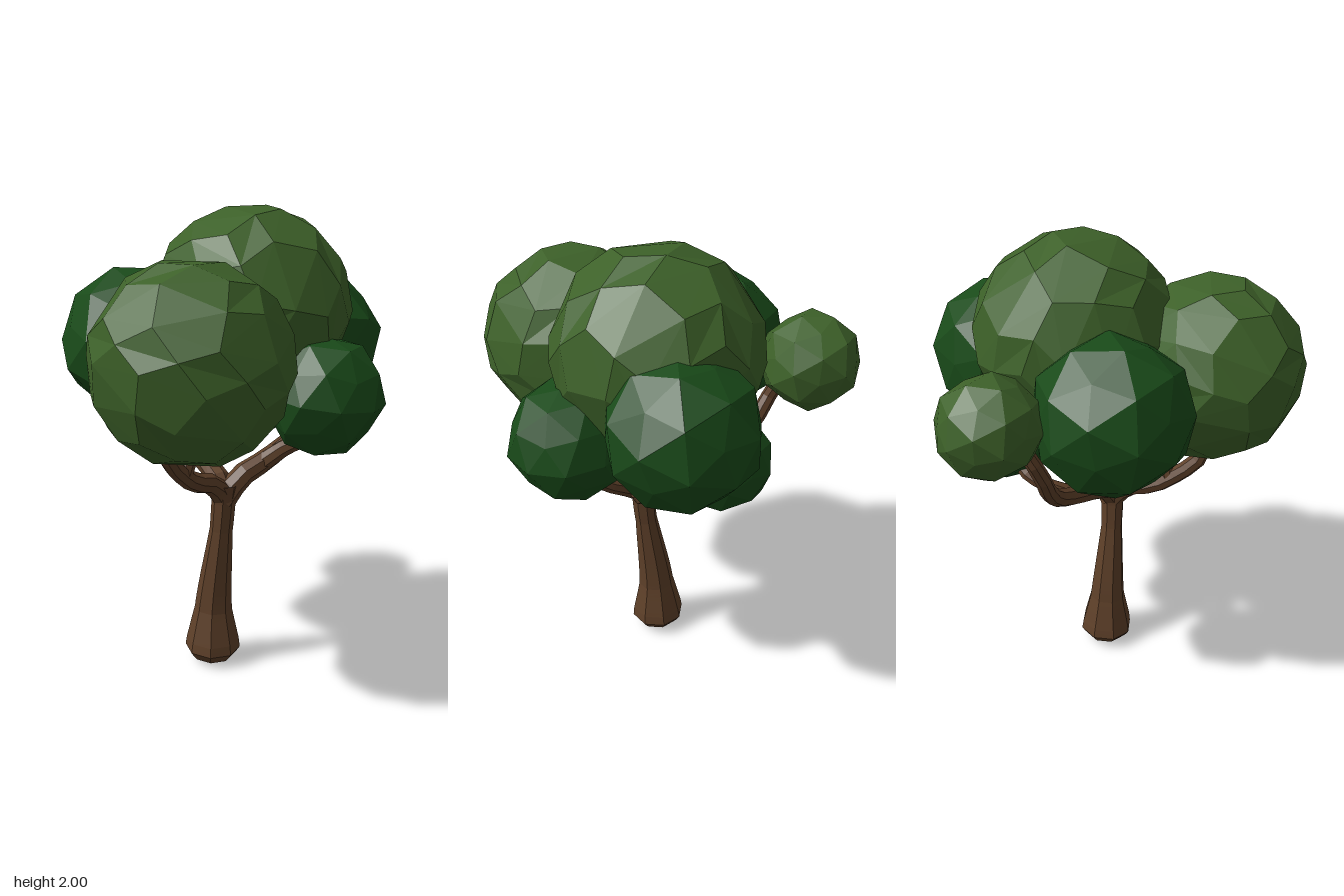
import * as THREE from 'three';

const material = (color) => new THREE.MeshStandardMaterial({ color, flatShading: true });
const bark = material(0x5e4029);
const lightLeaf = material(0x3d6129);
const darkLeaf = material(0x194a19);

// Linear lookup in a list of [u, radius] pairs
function radiusAt(profile, u) {
  for (let i = 1; i < profile.length; i++) {
    const [u0, r0] = profile[i - 1];
    const [u1, r1] = profile[i];
    if (u <= u1) return THREE.MathUtils.lerp(r0, r1, (u - u0) / (u1 - u0));
  }
  return profile[profile.length - 1][1];
}

// Tube through points whose rings follow a radius profile
function limb(name, points, profile, segments = 10, sides = 8) {
  const curve = new THREE.CatmullRomCurve3(points.map((p) => new THREE.Vector3(...p)));
  const geometry = new THREE.TubeGeometry(curve, segments, 1, sides);
  const pos = geometry.attributes.position;
  const v = new THREE.Vector3();
  for (let i = 0; i <= segments; i++) {
    const centre = curve.getPointAt(i / segments);
    const r = radiusAt(profile, i / segments);
    for (let j = 0; j <= sides; j++) {
      const k = i * (sides + 1) + j;
      v.fromBufferAttribute(pos, k).sub(centre).multiplyScalar(r).add(centre);
      pos.setXYZ(k, v.x, v.y, v.z);
    }
  }
  const mesh = new THREE.Mesh(geometry, bark);
  mesh.name = name;
  return mesh;
}

// Large leaf ball with uneven triangles
const largeBall = (radius) => new THREE.DodecahedronGeometry(radius, 1);

// Small leaf ball: the twelve five-sided corners are pressed in to nearly flat pentagons
function smallBall(radius) {
  const geometry = new THREE.IcosahedronGeometry(radius, 1);
  const pos = geometry.attributes.position;
  const v = new THREE.Vector3();
  for (let i = 0; i < pos.count; i++) {
    v.fromBufferAttribute(pos, i);
    const largest = Math.max(Math.abs(v.x), Math.abs(v.y), Math.abs(v.z)) / radius;
    if (Math.abs(largest - 0.8507) < 0.01) v.multiplyScalar(0.92);
    pos.setXYZ(i, v.x, v.y, v.z);
  }
  return geometry;
}

// Places a ball so that one of its pentagons looks along facing
function leafBall(name, geometry, centre, leaf, facing) {
  const mesh = new THREE.Mesh(geometry, leaf);
  mesh.name = name;
  mesh.position.set(...centre);
  const pole = new THREE.Vector3(0, 1, (1 + Math.sqrt(5)) / 2).normalize();
  mesh.quaternion.setFromUnitVectors(pole, new THREE.Vector3(...facing).normalize());
  return mesh;
}

export function createModel() {
  const tree = new THREE.Group();
  tree.name = 'tree';

  // Leaning trunk with a flared, rounded foot
  tree.add(limb('trunk',
    [[0.08, 0.01, 0.062], [0.083, 0.1, 0.062], [0.09, 0.3, 0.062], [0.135, 0.68, 0.055], [0.148, 0.86, 0.05]],
    [[0, 0], [0.025, 0.09], [0.07, 0.123], [0.12, 0.118], [0.3, 0.083], [0.75, 0.05], [0.9, 0.052], [1, 0.06]], 40));

  // Branches and the twigs that fork off them: name, points, start and end radius
  const branches = [
    ['leftBranch', [[0.15, 0.79, 0.05], [0.09, 0.87, 0.04], [-0.07, 0.92, 0.005], [-0.23, 0.99, 0],
      [-0.36, 1.1, 0.03], [-0.45, 1.24, 0.05], [-0.5, 1.38, 0]], 0.052, 0.03],
    ['lowTwig', [[-0.07, 0.92, 0.01], [-0.15, 0.97, -0.06], [-0.19, 1.03, -0.19], [-0.13, 1.13, -0.32]], 0.038, 0.027],
    ['frontBranch', [[0.14, 0.79, 0.05], [0.15, 0.87, 0.12], [0.17, 0.91, 0.24], [0.2, 0.98, 0.34],
      [0.24, 1.08, 0.43], [0.3, 1.25, 0.43]], 0.05, 0.03],
    ['frontTwig', [[0.19, 0.95, 0.31], [0.19, 1.05, 0.27], [0.14, 1.16, 0.21], [0, 1.3, 0.2]], 0.036, 0.026],
    ['backBranch', [[0.14, 0.78, 0.055], [0.17, 0.88, -0.02], [0.2, 0.94, -0.14], [0.22, 1.02, -0.28],
      [0.23, 1.13, -0.41], [0.2, 1.28, -0.46]], 0.055, 0.034],
    ['rightTwig', [[0.2, 0.93, -0.12], [0.27, 1.0, -0.18], [0.37, 1.065, -0.21], [0.47, 1.18, -0.2]], 0.042, 0.03],
  ];
  for (const [name, points, r0, r1] of branches) {
    tree.add(limb(name, points, [[0, r0], [0.5, (r0 + r1) * 0.47], [1, r1]]));
  }

  // Crown
  tree.add(
    leafBall('topLeaves', largeBall(0.432), [0.11, 1.585, -0.12], lightLeaf, [0.3, 1, -0.3]),
    leafBall('frontLeaves', largeBall(0.395), [0.355, 1.45, 0.4], lightLeaf, [0.5, 0.3, 1]),
    leafBall('leftLeaves', smallBall(0.213), [-0.54, 1.455, -0.12], lightLeaf, [-0.2, 0.1, 1]),
    leafBall('frontLeftLeaves', smallBall(0.33), [-0.21, 1.44, 0.23], darkLeaf, [-0.3, 0.3, 1]),
    leafBall('backLeaves', smallBall(0.315), [0.11, 1.43, -0.49], darkLeaf, [0.58, -0.4, -0.71]),
    leafBall('rightLeaves', smallBall(0.252), [0.49, 1.27, -0.175], darkLeaf, [1, 0.4, 0.2]),
    leafBall('lowLeaves', smallBall(0.21), [-0.1, 1.16, -0.32], darkLeaf, [0.6, -0.3, -0.7]),
  );
  return tree;
}
